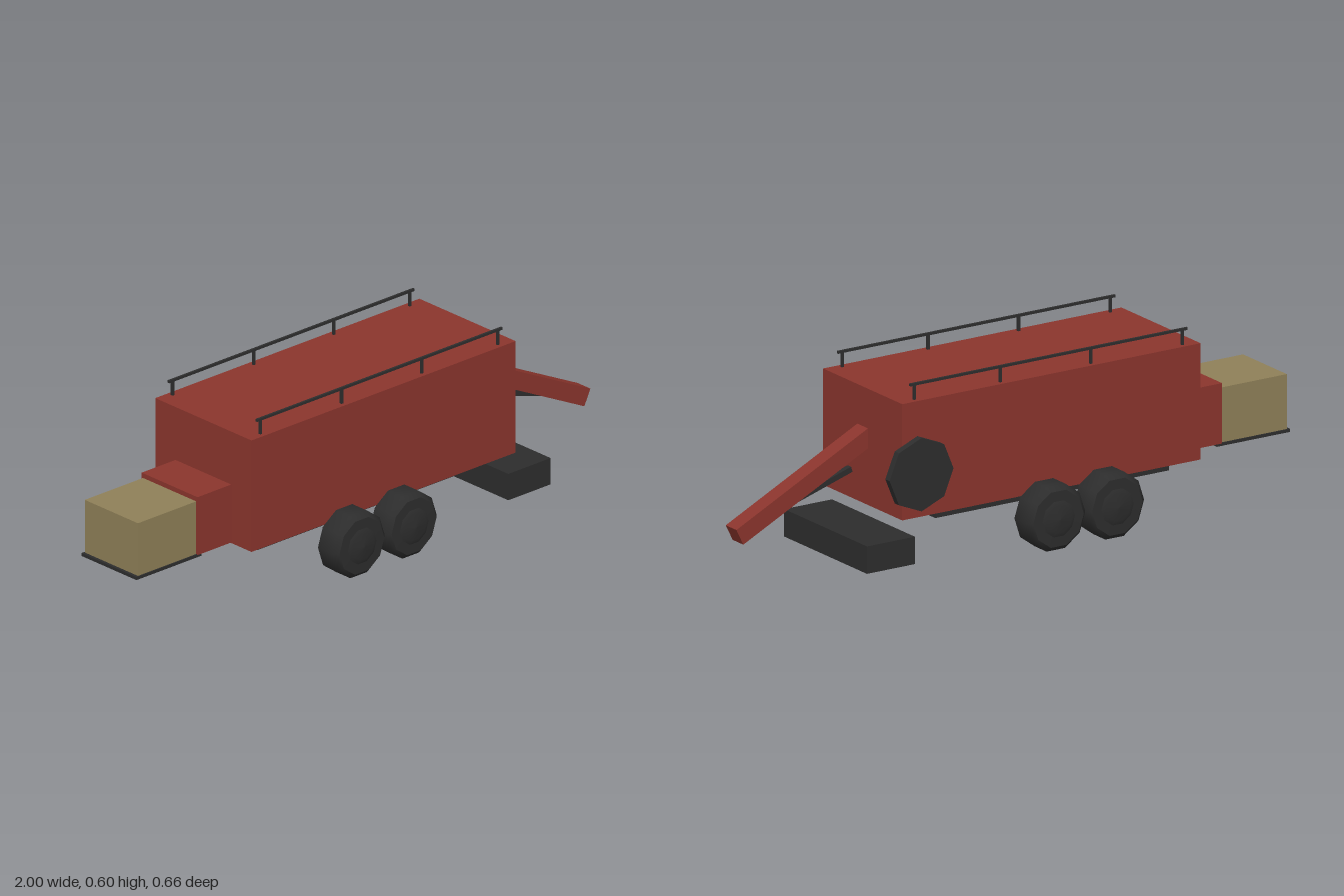
import * as THREE from 'three';

const material = (name, color, extra = {}) => {
  const m = new THREE.MeshStandardMaterial({ color, ...extra });
  m.name = name;
  return m;
};

export function createModel() {
  const model = new THREE.Group();
  model.name = 'trailer';
  const red = material('red paint', 0x8b352d);
  const tan = material('tan crate', 0x8f8058);
  const dark = material('dark rubber and steel', 0x2d2d2d);

  const add = (name, geometry, mat, x = 0, y = 0, z = 0) => {
    const mesh = new THREE.Mesh(geometry, mat);
    mesh.name = name;
    mesh.position.set(x, y, z);
    model.add(mesh);
    return mesh;
  };
  // Box given by its extents on each axis
  const box = (name, mat, x0, x1, y0, y1, z0, z1) =>
    add(name, new THREE.BoxGeometry(x1 - x0, y1 - y0, z1 - z0), mat,
      (x0 + x1) / 2, (y0 + y1) / 2, (z0 + z1) / 2);

  // Hull, rear locker, crate on its tray, chassis and front step
  box('body', red, -0.603, 0.508, 0.166, 0.543, -0.219, 0.219);
  box('rearLocker', red, -0.745, -0.603, 0.168, 0.364, -0.127, 0.127);
  box('crate', tan, -0.99, -0.745, 0.17, 0.348, -0.121, 0.121);
  box('crateTray', dark, -1, -0.727, 0.16, 0.17, -0.125, 0.125);
  box('chassis', dark, -0.525, 0.345, 0.129, 0.166, -0.16, 0.16);
  box('frontStep', dark, 0.468, 0.646, 0.02, 0.109, -0.229, 0.229);

  // Roof rails with posts
  for (const side of [1, -1]) {
    const z = side * 0.2;
    box('roofRail', dark, -0.565, 0.467, 0.589, 0.597, z - 0.004, z + 0.004);
    for (const x of [-0.548, -0.207, 0.13, 0.45]) {
      box('railPost', dark, x - 0.004, x + 0.004, 0.543, 0.589, z - 0.004, z + 0.004);
    }
  }

  // Ten-sided wheels with a chamfered tread and domed hub
  const profile = [
    [0, 0], [0.094, 0], [0.094, 0], [0.11, 0.015], [0.11, 0.08], [0.094, 0.096],
    [0.094, 0.096], [0.06, 0.097], [0.06, 0.097], [0.045, 0.103], [0, 0.108],
  ].map(([r, h]) => new THREE.Vector2(r, h));
  const wheel = new THREE.LatheGeometry(profile, 10, Math.PI / 10);
  for (const side of [1, -1]) {
    for (const x of [-0.228, -0.009]) {
      add('wheel', wheel, dark, x, 0.105, side * 0.22).rotation.x = side * Math.PI / 2;
    }
  }

  // Octagonal spare wheel on the far side
  const spare = new THREE.CylinderGeometry(0.119, 0.119, 0.024, 8).toNonIndexed();
  spare.computeVertexNormals();
  add('spareWheel', spare, dark, 0.458, 0.314, -0.24).rotation.x = Math.PI / 2;

  // Sloping drawbar and the strut beneath it
  const bar = (name, mat, x0, y0, x1, y1, thick, width) => {
    const length = Math.hypot(x1 - x0, y1 - y0);
    add(name, new THREE.BoxGeometry(length, thick, width), mat,
      (x0 + x1) / 2, (y0 + y1) / 2).rotation.z = Math.atan2(y1 - y0, x1 - x0);
  };
  bar('drawbar', red, 0.492, 0.39, 0.985, 0.146, 0.058, 0.059);
  bar('drawbarStrut', dark, 0.555, 0.285, 0.83, 0.2, 0.018, 0.02);

  return model;
}
